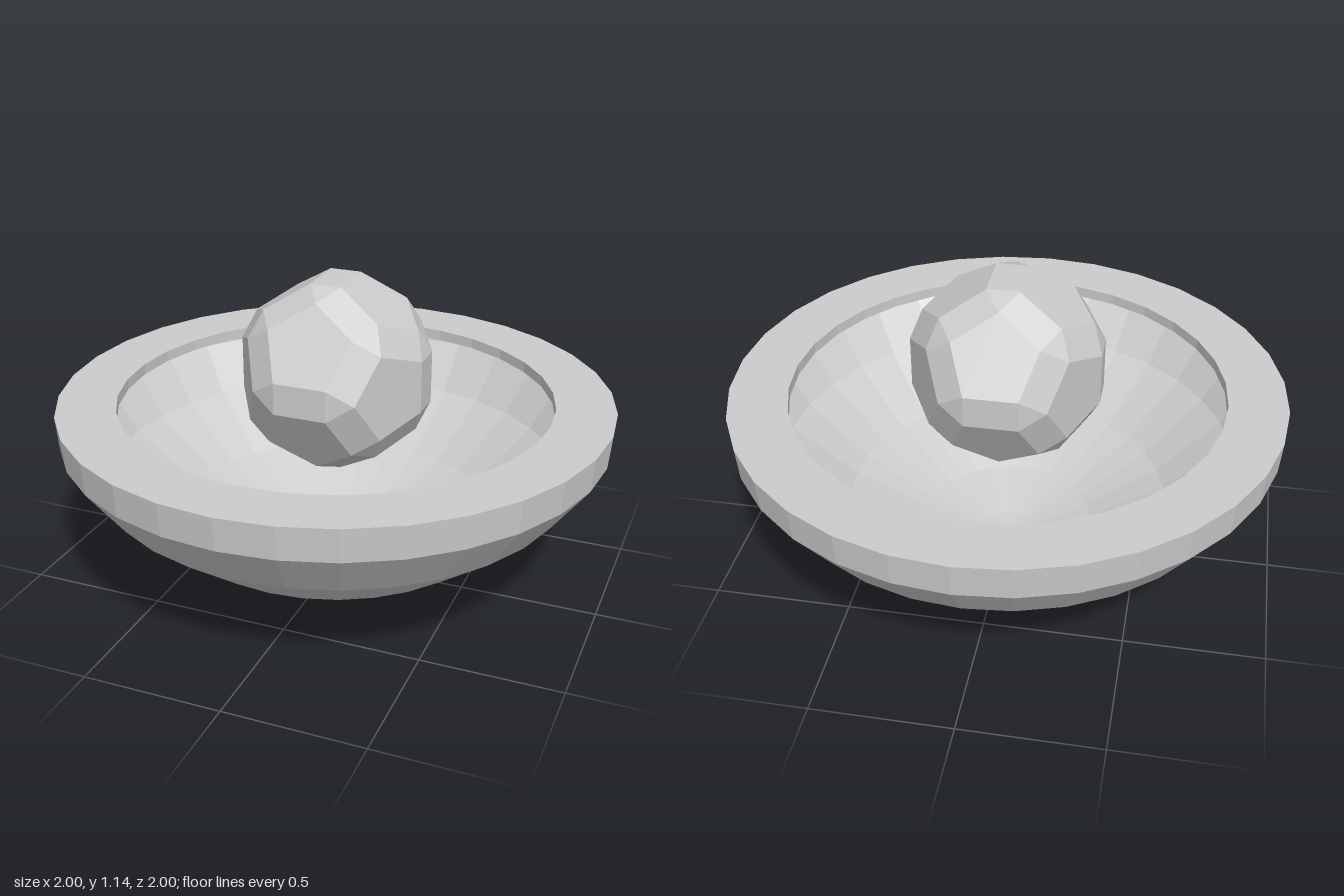
import * as THREE from 'three';
import { ConvexGeometry } from 'three/addons/geometries/ConvexGeometry.js';

const material = new THREE.MeshStandardMaterial({ color: 0xcccccc, flatShading: true });

// Twelve pentagons set apart around a centre; their hull adds bevels on edges and corners
function bevelledDodecahedron(faceDistance, faceRadius) {
  const a = 0.5257, b = 0.8507;
  const points = [];
  for (const s of [1, -1]) for (const t of [1, -1]) for (let axis = 0; axis < 3; axis++) {
    // cycle the coordinates to reach the three groups of faces
    const cycle = (x, y, z) => new THREE.Vector3(...[[x, y, z], [z, x, y], [y, z, x]][axis]);
    const normal = cycle(0, s * a, t * b);
    const corner = cycle(0, s * b, -t * a).multiplyScalar(faceRadius);
    for (let i = 0; i < 5; i++) {
      points.push(corner.clone()
        .applyAxisAngle(normal.clone().normalize(), (i * Math.PI * 2) / 5)
        .addScaledVector(normal, faceDistance));
    }
  }
  return new ConvexGeometry(points);
}

export function createModel() {
  const model = new THREE.Group();
  model.name = 'bowlWithGem';

  // Bowl: thin outer shell, flat rim reaching inward over it, and the inside of the shell
  const rimTop = 0.7, rimBottom = 0.66, opening = 0.787, inset = 0.97;
  const shell = [[0, 0], [0.1, 0.015], [0.325, 0.08], [0.61, 0.213], [0.86, 0.405], [0.99, 0.58]];
  const inside = shell.map(([r, y]) => [r * inset, rimTop - (rimTop - y) * inset]).reverse();
  const profile = [
    ...shell, [1, rimTop],
    [opening, rimTop], [opening, rimBottom], [inset, rimBottom],
    ...inside,
  ].map(([r, y]) => new THREE.Vector2(r, y));
  const bowl = new THREE.Mesh(new THREE.LatheGeometry(profile, 32), material);
  bowl.name = 'bowl';
  model.add(bowl);

  // Faceted gem hovering over the hollow
  const gem = new THREE.Mesh(bevelledDodecahedron(0.319, 0.161), material);
  gem.name = 'gem';
  gem.position.y = 0.8;
  model.add(gem);

  return model;
}
